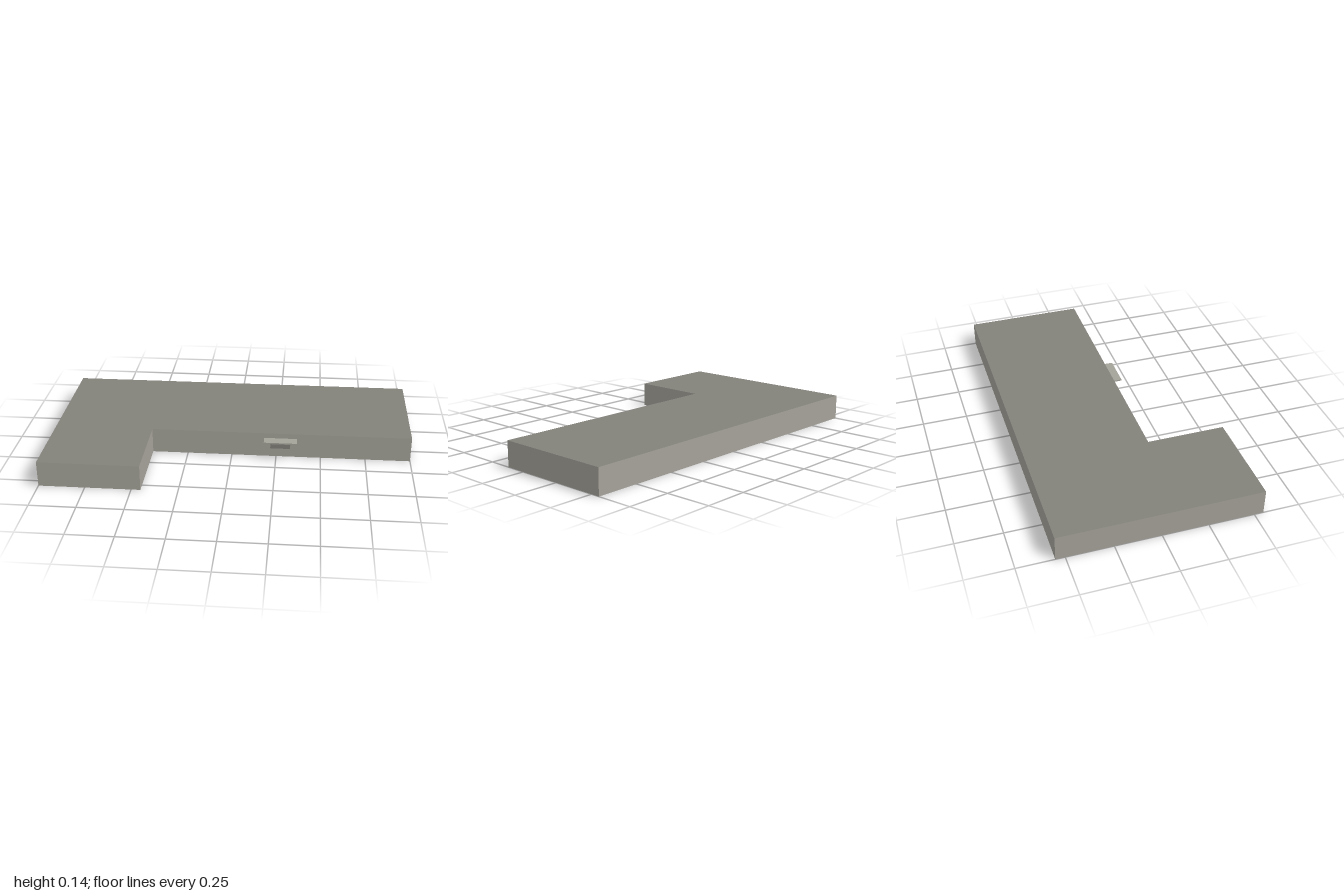
import * as THREE from 'three';

const HEIGHT = 0.142;
const NOTCH_Z = 0.117;
// L-shaped plan as [x, z], walking so that the outward side is on the right
const PLAN = [
  [-1, -0.55], [-1, 0.55], [-0.45, 0.55],
  [-0.45, NOTCH_Z], [1, NOTCH_Z], [1, -0.55],
];

const material = (name, color, side = THREE.FrontSide) => {
  const m = new THREE.MeshStandardMaterial({ color, side });
  m.name = name;
  return m;
};

export function createModel() {
  const group = new THREE.Group();
  group.name = 'building';
  const wallMat = material('wall grey', 0xa5a39a, THREE.DoubleSide);
  const roofMat = material('roof grey', 0x83817a, THREE.DoubleSide);

  const add = (name, geometry, mat, x = 0, y = 0, z = 0) => {
    const mesh = new THREE.Mesh(geometry, mat);
    mesh.name = name;
    mesh.position.set(x, y, z);
    group.add(mesh);
    return mesh;
  };

  // Thin outer walls, one flat panel per plan edge; the underside stays open
  PLAN.forEach(([x0, z0], i) => {
    const [x1, z1] = PLAN[(i + 1) % PLAN.length];
    const panel = new THREE.PlaneGeometry(Math.hypot(x1 - x0, z1 - z0), HEIGHT);
    const wall = add('wall' + (i + 1), panel, wallMat, (x0 + x1) / 2, HEIGHT / 2, (z0 + z1) / 2);
    wall.rotation.y = Math.atan2(-(z1 - z0), x1 - x0);
  });

  // Flat roof
  const outline = new THREE.Shape(PLAN.map(([x, z]) => new THREE.Vector2(x, -z)));
  add('roof', new THREE.ShapeGeometry(outline).rotateX(-Math.PI / 2), roofMat, 0, HEIGHT, 0);

  // Entrance panel with a small canopy over it
  add('entrance', new THREE.BoxGeometry(0.112, 0.056, 0.003), roofMat, 0.273, 0.078, NOTCH_Z + 0.0015);
  add('canopy', new THREE.BoxGeometry(0.184, 0.008, 0.058), wallMat, 0.274, 0.109, NOTCH_Z + 0.029);

  return group;
}
